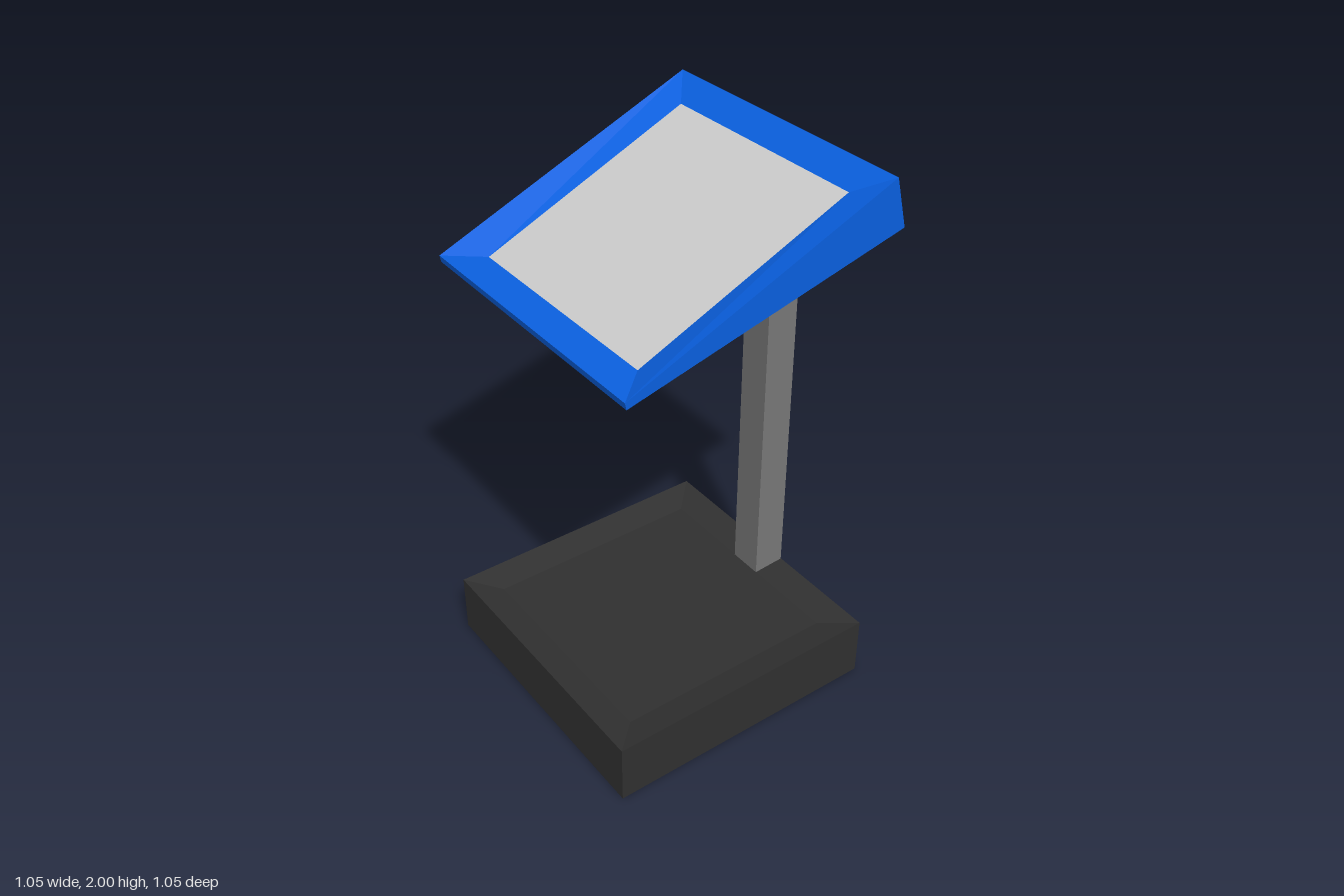
import * as THREE from 'three';

// Four corners of a cross-section, anticlockwise seen from above
function ring(xFront, yFront, zFront, xBack, yBack, zBack) {
  return [
    [-xFront, yFront, zFront], [xFront, yFront, zFront],
    [xBack, yBack, zBack], [-xBack, yBack, zBack],
  ];
}

// Flat-faced skin over successive rings, with optional end caps
function loft(rings, bottomCap = true, topCap = true) {
  const pos = [];
  const quad = (a, b, c, d) => pos.push(...a, ...b, ...c, ...a, ...c, ...d);
  for (let k = 0; k + 1 < rings.length; k++) {
    for (let i = 0; i < 4; i++) {
      const j = (i + 1) % 4;
      quad(rings[k][i], rings[k][j], rings[k + 1][j], rings[k + 1][i]);
    }
  }
  if (bottomCap) quad(...[...rings[0]].reverse());
  if (topCap) quad(...rings[rings.length - 1]);
  const geo = new THREE.BufferGeometry();
  geo.setAttribute('position', new THREE.Float32BufferAttribute(pos, 3));
  geo.computeVertexNormals();
  return geo;
}

export function createModel() {
  const model = new THREE.Group();
  model.name = 'informationStand';
  const add = (name, geo, color) => {
    const mesh = new THREE.Mesh(geo, new THREE.MeshStandardMaterial({ color, flatShading: true }));
    mesh.name = name;
    model.add(mesh);
  };

  // Square base with a shallow dished top
  add('base', loft([
    ring(0.525, 0, 0.53, 0.525, 0, -0.52),
    ring(0.525, 0.23, 0.53, 0.525, 0.23, -0.52),
    ring(0.415, 0.205, 0.42, 0.415, 0.205, -0.41),
  ]), 0x303030);

  // Post, a little wider at the back, cut to the slope of the sign
  add('post', loft([
    ring(0.065, 0.2, -0.41, 0.08, 0.2, -0.519),
    ring(0.065, 1.8, -0.41, 0.08, 1.828, -0.519),
  ]), 0x777777);

  // Wedge-shaped tilted frame with bevels sinking to the panel
  const inner = ring(0.415, 1.6, 0.375, 0.415, 1.935, -0.39);
  add('signFrame', loft([
    ring(0.525, 1.57, 0.49, 0.525, 1.825, -0.525),
    ring(0.525, 1.595, 0.495, 0.525, 2, -0.478),
    inner,
  ], true, false), 0x0a60e0);

  // Sunken display panel
  add('signPanel', loft([inner], false, true), 0xcccccc);

  return model;
}
